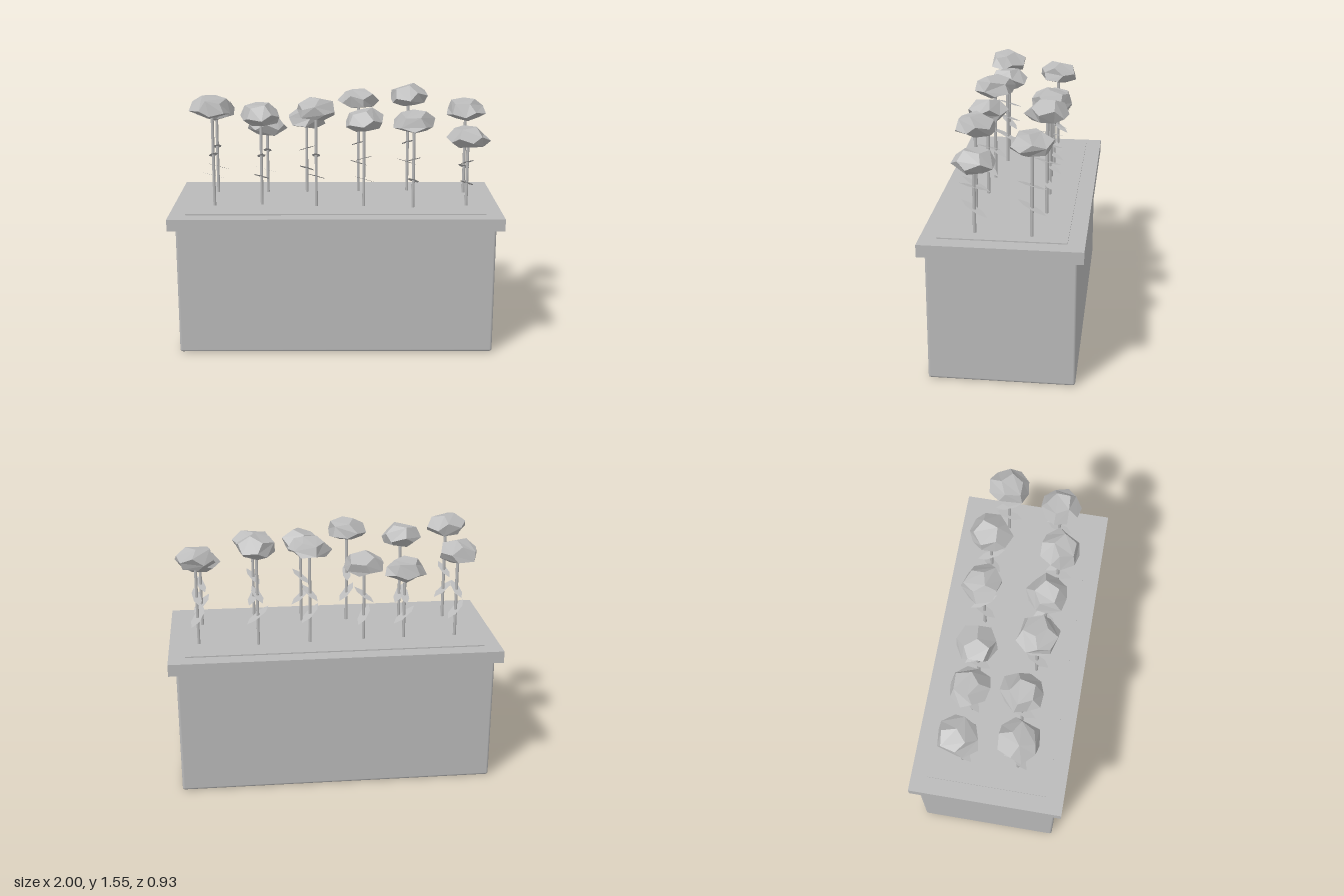
import * as THREE from 'three';
import { RoundedBoxGeometry } from 'three/addons/geometries/RoundedBoxGeometry.js';

// x, z, head height of each flower
const FLOWERS = [
  [-0.745, 0.16, 1.475], [-0.455, 0.135, 1.425], [-0.12, 0.17, 1.465],
  [0.17, 0.175, 1.395], [0.47, 0.205, 1.39], [0.8, 0.165, 1.29],
  [-0.755, -0.175, 1.4], [-0.435, -0.175, 1.3], [-0.185, -0.18, 1.345],
  [0.145, -0.2, 1.465], [0.46, -0.21, 1.48], [0.82, -0.16, 1.405],
];

function makeRandom(seed) {
  let s = seed;
  return () => {
    s = (s * 16807) % 2147483647;
    return s / 2147483647;
  };
}

// Squashed, irregular faceted dome
function bloomGeometry(rand) {
  const geo = new THREE.DodecahedronGeometry(1, 0);
  const pos = geo.attributes.position;
  const turn = new THREE.Euler(rand() * 6, rand() * 6, rand() * 6);
  const scales = new Map();
  const v = new THREE.Vector3();
  for (let i = 0; i < pos.count; i++) {
    v.fromBufferAttribute(pos, i);
    const key = [v.x, v.y, v.z].map((n) => Math.round(n * 50)).join();
    if (!scales.has(key)) scales.set(key, 0.92 + rand() * 0.2);
    v.multiplyScalar(scales.get(key)).applyEuler(turn);
    const spread = v.y < 0 ? 0.127 : 0.122;
    v.set(v.x * spread, v.y * (v.y > 0 ? 0.088 : 0.055) - 0.015, v.z * spread);
    pos.setXYZ(i, v.x, v.y, v.z);
  }
  geo.computeVertexNormals();
  return geo;
}

// Flat pointed leaf lying in the ground plane, long in x
function leafGeometry() {
  const shape = new THREE.Shape();
  shape.moveTo(-0.1, 0);
  shape.lineTo(-0.045, -0.026);
  shape.lineTo(0.045, -0.026);
  shape.lineTo(0.1, 0);
  shape.lineTo(0.045, 0.026);
  shape.lineTo(-0.045, 0.026);
  return new THREE.ShapeGeometry(shape).rotateX(-Math.PI / 2);
}

export function createModel() {
  const group = new THREE.Group();
  const grey = new THREE.MeshStandardMaterial({ color: 0xbababa, side: THREE.DoubleSide });
  grey.name = 'plain grey';

  const add = (name, geo, parent, x, y, z) => {
    const mesh = new THREE.Mesh(geo, grey);
    mesh.name = name;
    mesh.position.set(x, y, z);
    parent.add(mesh);
    return mesh;
  };

  // Planter
  add('planterBody', new RoundedBoxGeometry(1.91, 0.79, 0.85, 2, 0.015), group, 0, 0.395, 0);
  add('planterRim', new THREE.BoxGeometry(2, 0.073, 0.926), group, 0, 0.8165, 0);
  add('soil', new THREE.BoxGeometry(1.8, 0.03, 0.73), group, 0, 0.845, 0);

  // Flowers
  const leaf = leafGeometry();
  FLOWERS.forEach(([x, z, top], i) => {
    const rand = makeRandom(977 * (i + 3));
    rand();
    const flower = new THREE.Group();
    flower.name = 'flower' + (i + 1);
    flower.position.set(x, 0, z);
    group.add(flower);

    const height = top - 0.85;
    add('stem', new THREE.CylinderGeometry(0.01, 0.01, height, 6), flower, 0, 0.85 + height / 2, 0);
    add('bloom', bloomGeometry(rand), flower, 0, top, 0);

    // Two leaves, both sloping down towards the back
    const droop = (top - 1.4) * 0.25;
    const lower = add('lowerLeaf', leaf, flower, 0, 1.03 + droop, 0);
    lower.rotation.set(0, 0.95 + (rand() - 0.5) * 0.6, -0.36, 'YXZ');
    const upper = add('upperLeaf', leaf, flower, 0, 1.16 + droop, 0);
    upper.rotation.set(0, 1.9 + (rand() - 0.5) * 0.8, -0.34, 'YXZ');
    upper.scale.setScalar(0.9);
  });

  return group;
}
